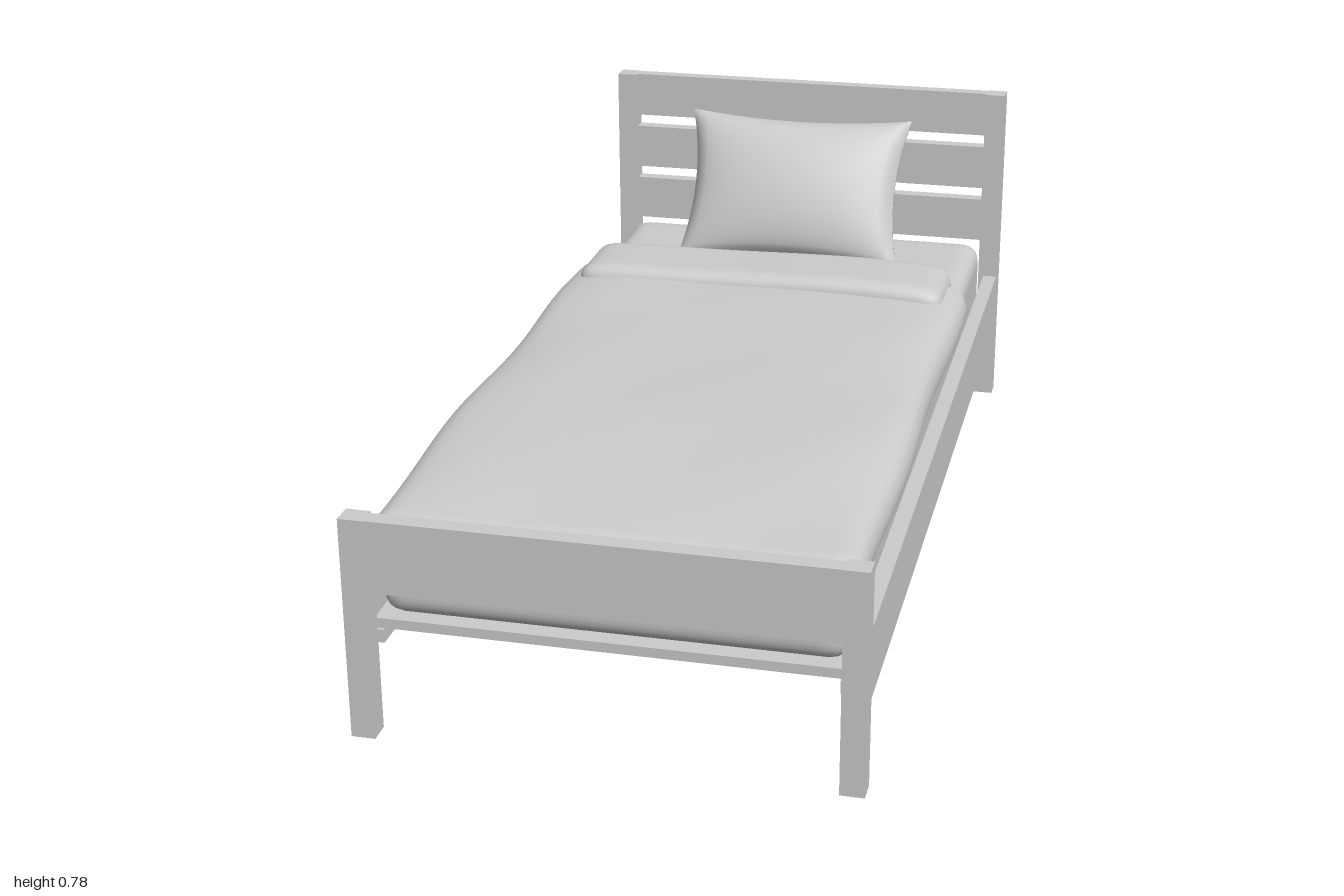
import * as THREE from 'three';
import { mergeVertices } from 'three/addons/utils/BufferGeometryUtils.js';

// Weld a warped box so that it shades smoothly
function smooth(geo) {
  geo.deleteAttribute('normal');
  geo.deleteAttribute('uv');
  const out = mergeVertices(geo, 1e-5);
  out.computeVertexNormals();
  return out;
}

// Move every vertex of a geometry by a rule
function warp(geo, rule) {
  const pos = geo.attributes.position;
  const v = new THREE.Vector3();
  for (let i = 0; i < pos.count; i++) {
    rule(v.fromBufferAttribute(pos, i));
    pos.setXYZ(i, v.x, v.y, v.z);
  }
  return geo;
}

// Subdivided box with rounded edges, then an optional extra rule
function softBox(w, h, d, r, segs, rule = () => {}) {
  const inner = new THREE.Vector3(w / 2 - r, h / 2 - r, d / 2 - r);
  const low = inner.clone().negate();
  const core = new THREE.Vector3();
  return smooth(warp(new THREE.BoxGeometry(w, h, d, ...segs), (v) => {
    core.copy(v).clamp(low, inner);
    v.sub(core);
    if (v.lengthSq() > 0) v.setLength(r);
    v.add(core);
    rule(v);
  }));
}

export function createModel() {
  const bed = new THREE.Group();
  bed.name = 'bed';
  const grey = new THREE.MeshStandardMaterial({ color: 0xcccccc });
  grey.name = 'light grey';

  const add = (name, geo, x = 0, y = 0, z = 0) => {
    const mesh = new THREE.Mesh(geo, grey);
    mesh.name = name;
    mesh.position.set(x, y, z);
    bed.add(mesh);
    return mesh;
  };
  // Box given by its limits on each axis
  const block = (name, x0, x1, y0, y1, z0, z1) =>
    add(name, new THREE.BoxGeometry(x1 - x0, y1 - y0, z1 - z0),
      (x0 + x1) / 2, (y0 + y1) / 2, (z0 + z1) / 2);
  const mirrored = (name, x0, x1, ...rest) => {
    block(name + 'Left', x0, x1, ...rest);
    block(name + 'Right', -x1, -x0, ...rest);
  };

  // Posts, side rails and the ledges that carry the slats
  mirrored('headPost', 0.44, 0.487, 0, 0.78, -1, -0.955);
  mirrored('footPost', 0.44, 0.487, 0, 0.45, 0.955, 1);
  mirrored('sideRail', 0.453, 0.485, 0.17, 0.315, -0.955, 0.955);
  mirrored('slatLedge', 0.43, 0.453, 0.178, 0.205, -0.95, 0.95);

  // Headboard and footboard
  for (const y of [0.405, 0.54, 0.675]) {
    block('headboardPlank', -0.44, 0.44, y, y + 0.105, -0.997, -0.965);
  }
  block('footboard', -0.44, 0.44, 0.305, 0.45, 0.963, 0.999);

  // Slats under the mattress
  const slats = 13;
  for (let i = 0; i < slats; i++) {
    const z = -0.9 + (1.8 * i) / (slats - 1);
    block('bedSlat', -0.45, 0.45, 0.205, 0.225, z - 0.043, z + 0.043);
  }

  // Mattress
  add('mattress', softBox(0.884, 0.18, 1.89, 0.04, [44, 14, 90]), 0, 0.315, -0.01);

  // Duvet: crowned top that sinks towards the foot, with wavy sides
  add('duvet', softBox(0.93, 0.092, 1.465, 0.042, [46, 10, 80], (v) => {
    const side = Math.abs(v.x) / 0.465;
    const foot = Math.max(0, (v.z - 0.2) / 0.53);
    if (v.y > 0) {
      v.y += 0.027 * (1 - side ** 6) * (1 - foot ** 2);
      v.y += 0.002 * Math.sin(v.z * 11 + v.x * 5) * Math.cos(v.x * 9);
    }
    v.y += 0.004 * Math.sin(v.z * 9 + Math.sign(v.x)) * side ** 4;
    v.y -= 0.012 * foot ** 2;
    v.x += 0.005 * Math.sin(v.z * 8) * side ** 4 * Math.sign(v.x);
  }), 0, 0.391, 0.2175);

  // Turned-back fold, flaring out where it hangs over the mattress sides
  add('duvetFold', softBox(0.85, 0.15, 0.212, 0.036, [44, 14, 18], (v) => {
    const side = Math.abs(v.x) / 0.425;
    v.x *= 1 + 0.08 * THREE.MathUtils.smoothstep(-v.y, -0.03, 0.06);
    if (v.y > 0) v.y -= 0.012 * side ** 6;
    v.y += 0.003 * Math.sin(v.x * 8);
  }), 0, 0.414, -0.442);

  // Pillow: two bulging faces with pinched edges and pulled-out corners
  const pillow = warp(new THREE.BoxGeometry(2, 2, 2, 32, 28, 1), (v) => {
    const { x: u, y: t, z: face } = v;
    const bulge = ((1 - u * u) * (1 - t * t)) ** 0.5;
    v.x = u * (0.246 + 0.026 * t * t);
    v.y = t * (0.168 + 0.018 * u * u);
    v.z = face * (0.003 + 0.066 * bulge);
  });
  add('pillow', smooth(pillow), 0, 0.562, -0.785).rotation.x = -0.52;

  return bed;
}
